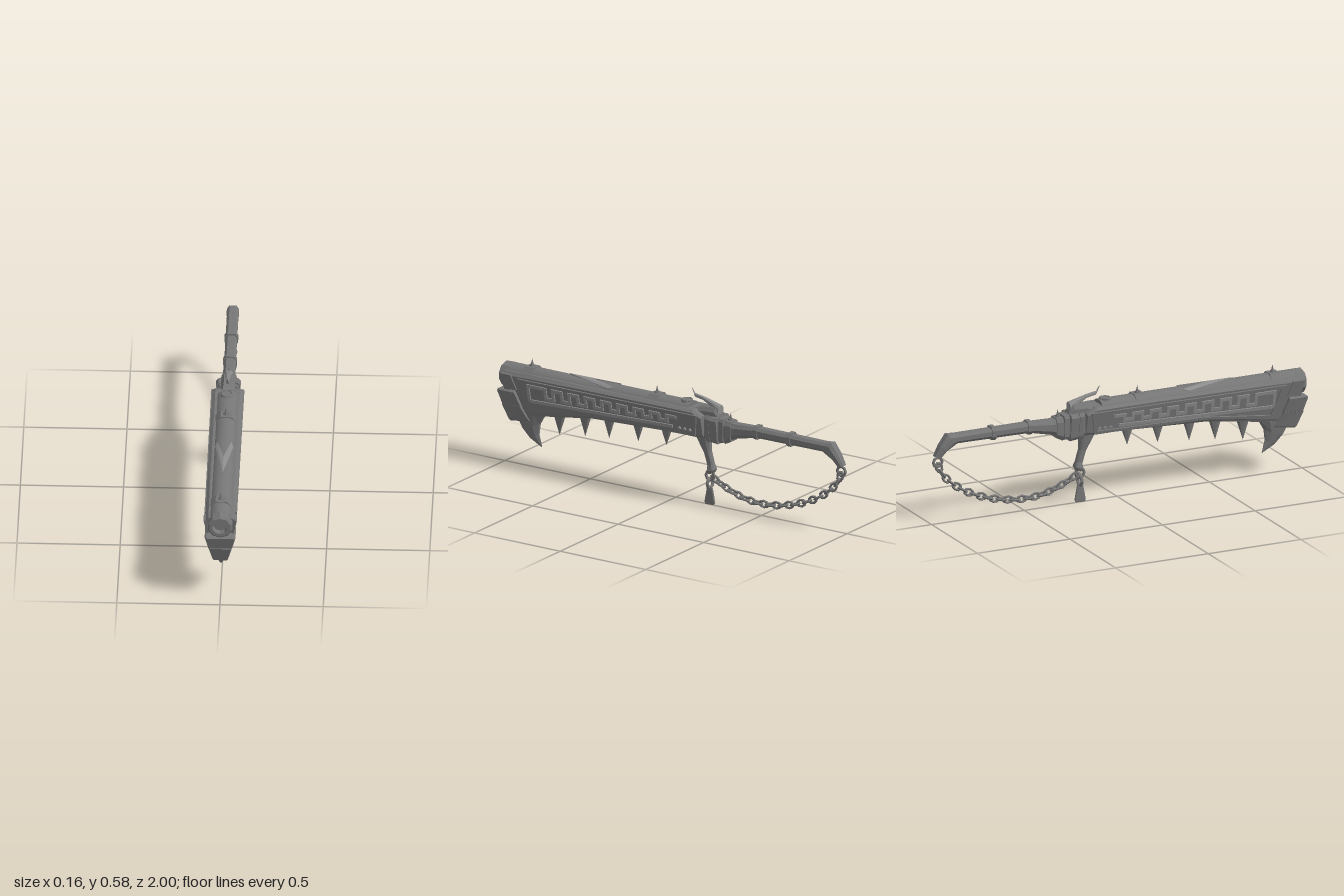
import * as THREE from 'three';

const mat = new THREE.MeshStandardMaterial({ color: 0x767676, flatShading: true });
const smooth = new THREE.MeshStandardMaterial({ color: 0x767676 });
const trim = new THREE.MeshStandardMaterial({ color: 0x8c8c8c, flatShading: true });

export function createModel() {
  const root = new THREE.Group();
  const add = (name, geo, x = 0, y = 0, z = 0, m = mat) => {
    const mesh = new THREE.Mesh(geo, m);
    mesh.name = name;
    mesh.position.set(x, y, z);
    root.add(mesh);
    return mesh;
  };

  // Eight-cornered loft. Each section: [topZ, topY, bottomZ, bottomY, topHalfWidth, bottomHalfWidth]
  const loft = (name, sections, bev = 0.2, k = 0.6, m = mat) => {
    const rings = sections.map(([tz, ty, bz, by, wt, wb = wt]) => {
      const p = (x, f) => [x, by + (ty - by) * f, bz + (tz - bz) * f];
      return [p(-wb * k, 0), p(wb * k, 0), p(wb, bev), p(wt, 1 - bev),
        p(wt * k, 1), p(-wt * k, 1), p(-wt, 1 - bev), p(-wb, bev)];
    });
    const pos = [];
    const tri = (a, b, c) => pos.push(...a, ...b, ...c);
    for (let i = 0; i < rings.length - 1; i++) {
      for (let j = 0; j < 8; j++) {
        const n = (j + 1) % 8, A = rings[i], B = rings[i + 1];
        tri(A[j], B[j], B[n]);
        tri(A[j], B[n], A[n]);
      }
    }
    const F = rings[0], L = rings[rings.length - 1];
    for (let j = 1; j < 7; j++) {
      tri(F[0], F[j], F[j + 1]);
      tri(L[0], L[j + 1], L[j]);
    }
    const g = new THREE.BufferGeometry();
    g.setAttribute('position', new THREE.Float32BufferAttribute(pos, 3));
    g.computeVertexNormals();
    return add(name, g, 0, 0, 0, m);
  };

  // Wedge-shaped body
  const half = y => 0.026 + (y - 0.235) * 0.2;
  const bodySection = (tz, ty, bz, by) =>
    [tz, ty, bz, by, half(ty - 0.08 * (ty - by)), half(by + 0.08 * (ty - by))];
  loft('body', [
    bodySection(0.968, 0.485, 0.93, 0.25), bodySection(0.78, 0.488, 0.78, 0.275),
    bodySection(0.46, 0.488, 0.46, 0.325), bodySection(0, 0.488, 0, 0.345),
    bodySection(-0.14, 0.488, -0.14, 0.345), bodySection(-0.19, 0.462, -0.19, 0.355),
  ], 0.08, 0.8);

  // Barrel, muzzle and top bands
  const barrel = add('barrel', new THREE.CylinderGeometry(0.06, 0.06, 1.05, 28), 0, 0.45, 0.425, smooth);
  barrel.rotation.x = Math.PI / 2;
  const profile = [[0, 0.97], [0.035, 0.97], [0.037, 1], [0.053, 1], [0.062, 0.992], [0.062, 0.95], [0.058, 0.94]];
  const muzzle = add('muzzle', new THREE.LatheGeometry(profile.map(p => new THREE.Vector2(...p)).reverse(), 10), 0, 0.45, 0);
  muzzle.rotation.x = Math.PI / 2;
  muzzle.material = mat.clone();
  muzzle.material.side = THREE.DoubleSide;
  for (const z of [0.84, 0.11]) {
    const g = new THREE.CylinderGeometry(0.068, 0.068, 0.055, 8);
    g.rotateY(Math.PI / 8);
    add('barrelBand', g, 0, 0.45, z).rotation.x = Math.PI / 2;
  }
  for (const [z, y] of [[0.84, 0.512], [0.11, 0.512], [-0.32, 0.452]]) {
    add('spikeBase', new THREE.CylinderGeometry(0.011, 0.015, 0.014, 8), 0, y + 0.003, z);
    add('spike', new THREE.ConeGeometry(0.009, 0.035, 6), 0, y + 0.022, z);
  }

  // V-shaped inlay bent down over the barrel, and round cap
  const vee = new THREE.Shape([[-0.044, -0.37], [-0.034, -0.34], [0, -0.48], [0.034, -0.34], [0.044, -0.37], [0, -0.62]]
    .map(p => new THREE.Vector2(...p)));
  const veeGeo = new THREE.ExtrudeGeometry(vee, { depth: 0.022, bevelEnabled: false });
  const vp = veeGeo.attributes.position;
  for (let i = 0; i < vp.count; i++) vp.setZ(i, vp.getZ(i) - 0.06 + Math.sqrt(0.0036 - vp.getX(i) ** 2));
  add('topInlay', veeGeo, 0, 0.495, 0, trim).rotation.x = -Math.PI / 2;
  add('topCap', new THREE.CylinderGeometry(0.028, 0.034, 0.02, 12), 0, 0.502, -0.065);
  const rim = add('topCapRim', new THREE.TorusGeometry(0.025, 0.005, 6, 12), 0, 0.511, -0.065);
  rim.rotation.x = Math.PI / 2;

  // Side ornament: outlines given in (z, y), laid on each sloping flank
  const flank = (name, outline, depth, hole, m = mat) => {
    for (const s of [-1, 1]) {
      const pts = a => a.map(([z, y]) => new THREE.Vector2(-s * z, (y - 0.235) / 0.98));
      const shape = new THREE.Shape(pts(outline));
      if (hole) shape.holes.push(new THREE.Path(pts(hole)));
      const g = new THREE.ExtrudeGeometry(shape, { depth: depth + 0.003, bevelEnabled: false });
      g.translate(0, 0, -0.003);
      g.applyMatrix4(new THREE.Matrix4().makeBasis(
        new THREE.Vector3(0, 0, -s), new THREE.Vector3(s * 0.196, 0.98, 0), new THREE.Vector3(s * 0.98, -0.196, 0)));
      add(name, g, s * 0.026, 0.235, 0, m);
    }
  };
  flank('sideFrame', [[0.88, 0.462], [-0.17, 0.468], [-0.15, 0.355], [0.45, 0.342], [0.82, 0.292]], 0.008,
    [[0.855, 0.448], [-0.152, 0.455], [-0.135, 0.368], [0.44, 0.356], [0.807, 0.31]]);
  flank('frontSidePlate', [[0.975, 0.475], [0.915, 0.475], [0.89, 0.4], [0.96, 0.39]], 0.007);

  // Meander built from straight bars
  const low = z => 0.382 - 0.035 * Math.max(0, z);
  const t = 0.008;
  const bar = (z0, y0, z1, y1) => flank('meanderBar', z0 === z1
    ? [[z0 + t, y0], [z0 - t, y0], [z0 - t, y1], [z0 + t, y1]]
    : [[z0, y0 - t], [z1, y1 - t], [z1, y1 + t], [z0, y0 + t]], 0.006, null, trim);
  bar(0.82, low(0.82), -0.02, low(0));
  bar(0.82, low(0.82), 0.82, 0.434);
  bar(0.828, 0.434, 0.72, 0.434);
  for (let i = 0; i < 8; i++) {
    const z = 0.72 - i * 0.095, top = 0.434, mid = low(z) + 0.026;
    bar(z, mid, z, top + t);
    bar(z + t, mid, z - 0.045 - t, mid);
    bar(z - 0.045, mid, z - 0.045, top + t);
    bar(z - 0.045 + t, top, z - 0.095 - t, top);
  }
  for (const z of [-0.06, -0.09, -0.12]) {
    flank('sideStud', [[z + 0.01, 0.38], [z, 0.39], [z - 0.01, 0.38], [z, 0.372]], 0.008, null, trim);
  }

  // Front guard in two stepped plates
  loft('upperGuard', [[1, 0.385, 0.98, 0.312, 0.07, 0.055], [0.99, 0.392, 0.972, 0.308, 0.075, 0.058],
    [0.9, 0.392, 0.87, 0.31, 0.075, 0.058]], 0.08, 0.9);
  loft('lowerGuard', [[0.985, 0.315, 0.955, 0.23, 0.053, 0.034], [0.975, 0.32, 0.945, 0.224, 0.057, 0.037],
    [0.88, 0.32, 0.835, 0.24, 0.057, 0.037]], 0.08, 0.9);

  // Hooked claw and teeth under the body
  loft('frontClaw', [[0.76, 0.285, 0.925, 0.25, 0.033], [0.795, 0.225, 0.892, 0.19, 0.024],
    [0.8, 0.17, 0.85, 0.145, 0.013], [0.782, 0.11, 0.785, 0.108, 0.001]], 0.3, 0.35);
  [[0.68, 0.19, 0.3], [0.53, 0.212, 0.325], [0.39, 0.228, 0.34], [0.22, 0.243, 0.35], [0.055, 0.255, 0.355]]
    .forEach(([z, tip, base]) => {
      const tooth = add('tooth', new THREE.ConeGeometry(0.037, base - tip, 8), 0, (base + tip) / 2, z);
      tooth.rotation.x = Math.PI;
      tooth.scale.x = 0.6;
    });

  // Lock blocks and hammer behind the body
  loft('lockNeck', [[-0.17, 0.465, -0.17, 0.345, 0.04], [-0.3, 0.46, -0.3, 0.34, 0.04]], 0.12, 0.8);
  for (const [z0, z1, w] of [[-0.2, -0.222, 0.052], [-0.228, -0.272, 0.06]]) {
    loft('lockBlock', [[z0, 0.465, z0, 0.335, w, w * 0.8], [z1, 0.465, z1, 0.33, w, w * 0.8]], 0.12, 0.8);
  }
  loft('lockHump', [[-0.13, 0.49, -0.13, 0.42, 0.04], [-0.18, 0.503, -0.18, 0.42, 0.034],
    [-0.245, 0.507, -0.245, 0.42, 0.034], [-0.268, 0.475, -0.268, 0.42, 0.03]], 0.25, 0.6);
  loft('hammer', [[-0.093, 0.578, -0.103, 0.565, 0.003], [-0.108, 0.553, -0.115, 0.535, 0.006],
    [-0.165, 0.543, -0.165, 0.527, 0.009], [-0.22, 0.528, -0.22, 0.495, 0.013],
    [-0.262, 0.515, -0.262, 0.45, 0.022]], 0.2, 0.6, trim);

  // Handle, bands and drooping pommel
  loft('handle', [[-0.27, 0.455, -0.27, 0.335, 0.042], [-0.3, 0.45, -0.3, 0.337, 0.035],
    [-0.36, 0.444, -0.36, 0.37, 0.031], [-0.48, 0.448, -0.48, 0.397, 0.028], [-0.88, 0.446, -0.87, 0.4, 0.028],
    [-0.92, 0.45, -0.88, 0.394, 0.03], [-0.96, 0.395, -0.925, 0.368, 0.028], [-0.987, 0.345, -0.955, 0.334, 0.02]], 0.27, 0.6);
  loft('handleCollar', [[-0.305, 0.455, -0.305, 0.335, 0.039], [-0.34, 0.452, -0.34, 0.352, 0.037]], 0.2, 0.7);
  for (const z of [-0.48, -0.675]) {
    loft('handleBand', [[z + 0.012, 0.456, z + 0.012, 0.39, 0.033], [z - 0.012, 0.456, z - 0.012, 0.39, 0.033]], 0.27, 0.6);
  }

  // Rear lug, hanging rings and charm
  loft('rearLug', [[-0.2, 0.355, -0.12, 0.355, 0.028], [-0.205, 0.27, -0.172, 0.26, 0.017],
    [-0.222, 0.21, -0.19, 0.2, 0.016], [-0.232, 0.185, -0.19, 0.175, 0.024], [-0.222, 0.165, -0.195, 0.16, 0.018]]);
  const ring = (name, r, y, z, turn) => {
    add(name, new THREE.TorusGeometry(r, 0.008, 6, 8), 0, y, z).rotation.y = turn;
  };
  ring('lugRing', 0.024, 0.148, -0.2, Math.PI / 2);
  ring('charmRing', 0.025, 0.11, -0.2, 0);
  ring('pommelRing', 0.024, 0.313, -0.967, Math.PI / 2);
  loft('charm', [[-0.21, 0.095, -0.186, 0.095, 0.005], [-0.215, 0.075, -0.182, 0.075, 0.006],
    [-0.227, 0.012, -0.17, 0.012, 0.006], [-0.222, 0.002, -0.175, 0, 0.005]], 0.15, 0.8);

  // Sagging chain of alternating links
  const path = new THREE.CatmullRomCurve3([[0.14, -0.22], [0.105, -0.29], [0.066, -0.42], [0.064, -0.555],
    [0.1, -0.715], [0.165, -0.85], [0.245, -0.94], [0.295, -0.965]].map(([y, z]) => new THREE.Vector3(0, y, z)));
  const across = new THREE.Vector3(1, 0, 0), links = 23;
  for (let i = 0; i < links; i++) {
    const u = (i + 0.3) / (links - 0.4);
    const dir = path.getTangentAt(u), side = new THREE.Vector3().crossVectors(dir, across);
    const n = i % 2 ? across : side;
    const g = new THREE.TorusGeometry(0.016, 0.0062, 5, 8);
    g.scale(1.5, 1, 1);
    const link = add('chainLink', g);
    link.quaternion.setFromRotationMatrix(new THREE.Matrix4().makeBasis(dir, n, new THREE.Vector3().crossVectors(dir, n)));
    link.position.copy(path.getPointAt(u));
  }
  return root;
}
